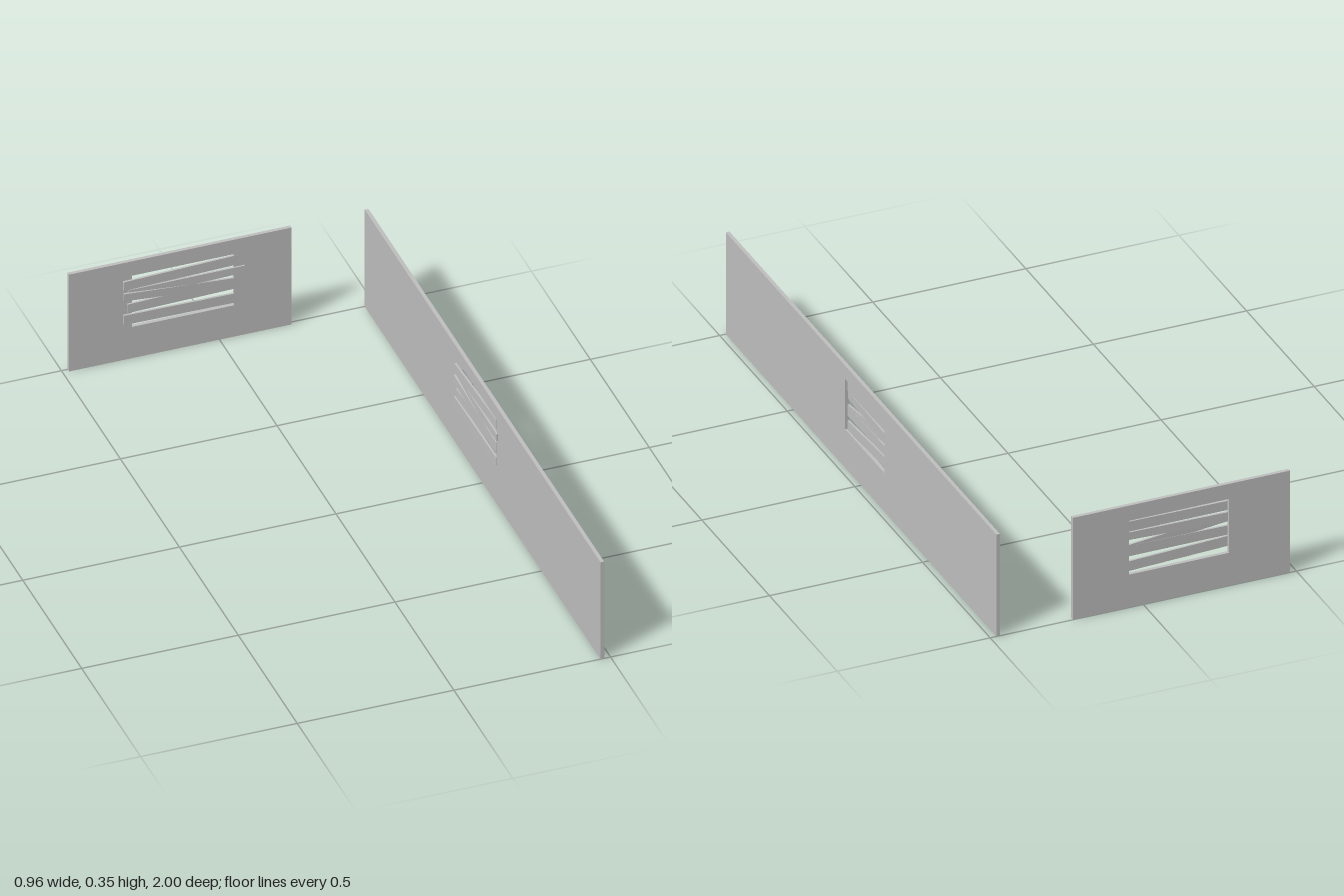
import * as THREE from 'three';

const THICK = 0.012;

// Boards: ends in x, bottom and top height at the left and right end, front offset at each end
const BOARDS = [
  { x: [-0.308, 0.06], left: [0.254, 0.285], right: [0.258, 0.292], out: [0.007, 0.0] },
  { x: [-0.290, 0.08], left: [0.217, 0.249], right: [0.227, 0.252], out: [0.002, 0.005] },
  { x: [-0.308, 0.06], left: [0.217, 0.243], right: [0.183, 0.210], out: [0.009, 0.0] },
  { x: [-0.296, 0.06], left: [0.170, 0.201], right: [0.173, 0.209], out: [0.006, 0.0] },
  { x: [-0.308, 0.06], left: [0.131, 0.165], right: [0.122, 0.155], out: [0.008, 0.0] },
];

export function createModel() {
  const model = new THREE.Group();
  model.name = 'boardedWalls';
  const grey = new THREE.MeshStandardMaterial({ color: 0xc0c0c0 });
  grey.name = 'plain grey';

  const outline = (pts) => pts.map(([x, y]) => new THREE.Vector2(x, y));
  const rect = (x0, x1, y0, y1) => outline([[x0, y0], [x1, y0], [x1, y1], [x0, y1]]);

  // Wall slab with a window opening; its inner face lies at local z = 0
  function wall(name, x0, x1, height, hole) {
    const shape = new THREE.Shape(rect(x0, x1, 0, height));
    shape.holes.push(new THREE.Path(rect(...hole)));
    const geo = new THREE.ExtrudeGeometry(shape, { depth: THICK, bevelEnabled: false });
    geo.translate(0, 0, -THICK);
    const mesh = new THREE.Mesh(geo, grey);
    mesh.name = name;
    return mesh;
  }

  // Tapered board, sheared in depth so one end sinks into the wall
  function board(b, mapX, lift) {
    const [x0, x1] = b.x.map(mapX);
    const shape = new THREE.Shape(outline([
      [x0, b.left[0] + lift], [x1, b.right[0] + lift],
      [x1, b.right[1] + lift], [x0, b.left[1] + lift],
    ]));
    const geo = new THREE.ExtrudeGeometry(shape, { depth: 0.007, bevelEnabled: false });
    geo.translate(0, 0, -0.007);
    const p = geo.attributes.position;
    for (let i = 0; i < p.count; i++) {
      const t = (p.getX(i) - x0) / (x1 - x0);
      p.setZ(i, p.getZ(i) + THREE.MathUtils.lerp(b.out[0], b.out[1], t));
    }
    geo.computeVertexNormals();
    const mesh = new THREE.Mesh(geo, grey);
    mesh.name = 'windowBoard';
    return mesh;
  }

  function boardedWall(name, wallMesh, mapX, lift) {
    const group = new THREE.Group();
    group.name = name;
    group.add(wallMesh, ...BOARDS.map((b) => board(b, mapX, lift)));
    model.add(group);
    return group;
  }

  // Short wall at the back
  const back = boardedWall('backWall',
    wall('backWallSlab', -0.48, 0.23, 0.35, [-0.28, 0.047, 0.113, 0.298]), (x) => x, 0);
  back.position.z = -1 + THICK;

  // Long wall along the side, boards facing inward
  const side = boardedWall('sideWall',
    wall('sideWallSlab', -1, 1, 0.35, [-0.172, 0.117, 0.132, 0.304]),
    (x) => -0.222 + (x + 0.308) * 0.91, 0.008);
  side.rotation.y = -Math.PI / 2;
  side.position.x = 0.48 - THICK;

  return model;
}
